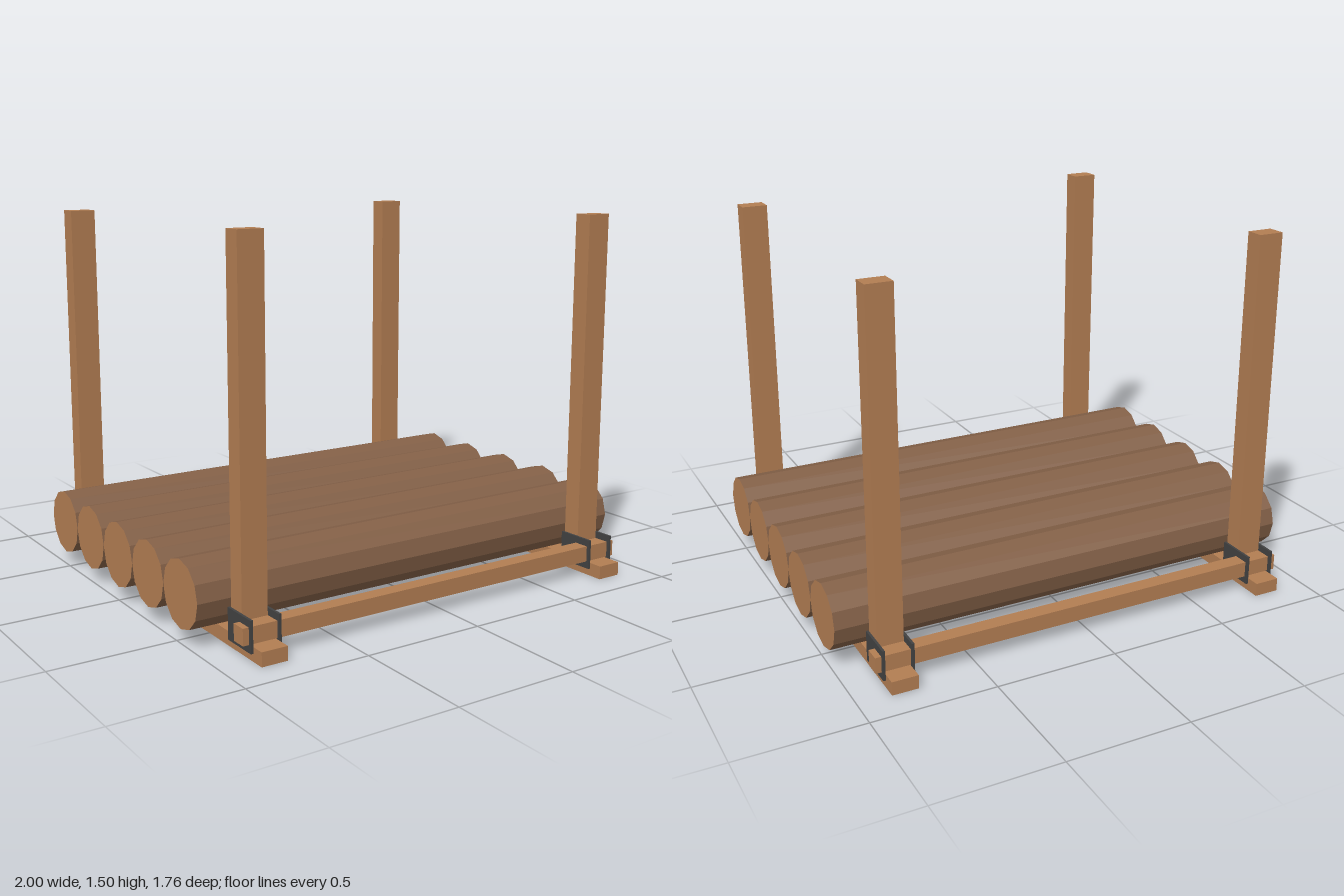
import * as THREE from 'three';

export function createModel() {
  const group = new THREE.Group();
  const wood = new THREE.MeshStandardMaterial({ color: 0xb27d52, flatShading: true });
  const bark = new THREE.MeshStandardMaterial({ color: 0x836047, flatShading: true });
  const iron = new THREE.MeshStandardMaterial({ color: 0x424242, flatShading: true });

  // Box given by its min and max corners
  const box = (name, material, [x0, y0, z0], [x1, y1, z1], parent = group) => {
    const mesh = new THREE.Mesh(new THREE.BoxGeometry(x1 - x0, y1 - y0, z1 - z0), material);
    mesh.position.set((x0 + x1) / 2, (y0 + y1) / 2, (z0 + z1) / 2);
    mesh.name = name;
    parent.add(mesh);
  };

  // Logs lying side by side, bark around and cut wood at the ends
  const logGeometry = new THREE.CylinderGeometry(0.133, 0.133, 2, 12);
  logGeometry.rotateZ(Math.PI / 2);
  for (let i = -2; i <= 2; i++) {
    const log = new THREE.Mesh(logGeometry, [bark, wood, wood]);
    log.position.set(0, 0.188, i * 0.267);
    log.name = 'log';
    group.add(log);
  }

  // Cross beams under the logs
  for (const x of [-0.813, 0.813]) {
    box('crossBeam', wood, [x - 0.053, 0, -0.88], [x + 0.053, 0.055, 0.88]);
  }

  // Long rails outside the posts
  for (const side of [-1, 1]) {
    const z = side * 0.778;
    box('sideRail', wood, [-0.9, 0.06, z - 0.032], [0.9, 0.125, z + 0.032]);
  }

  // Corner posts, each held between two iron plates
  for (const sx of [-1, 1]) {
    for (const sz of [-1, 1]) {
      const corner = new THREE.Group();
      corner.name = 'cornerPost';
      corner.position.set(sx * 0.813, 0, sz * 0.707);
      box('post', wood, [-0.053, 0.055, -0.038], [0.053, 1.495, 0.038], corner);
      const z = sz * 0.035;
      for (const px of [-0.058, 0.058]) {
        box('bracketPlate', iron, [px - 0.005, 0.03, z - 0.081], [px + 0.005, 0.153, z + 0.081], corner);
      }
      group.add(corner);
    }
  }
  return group;
}
